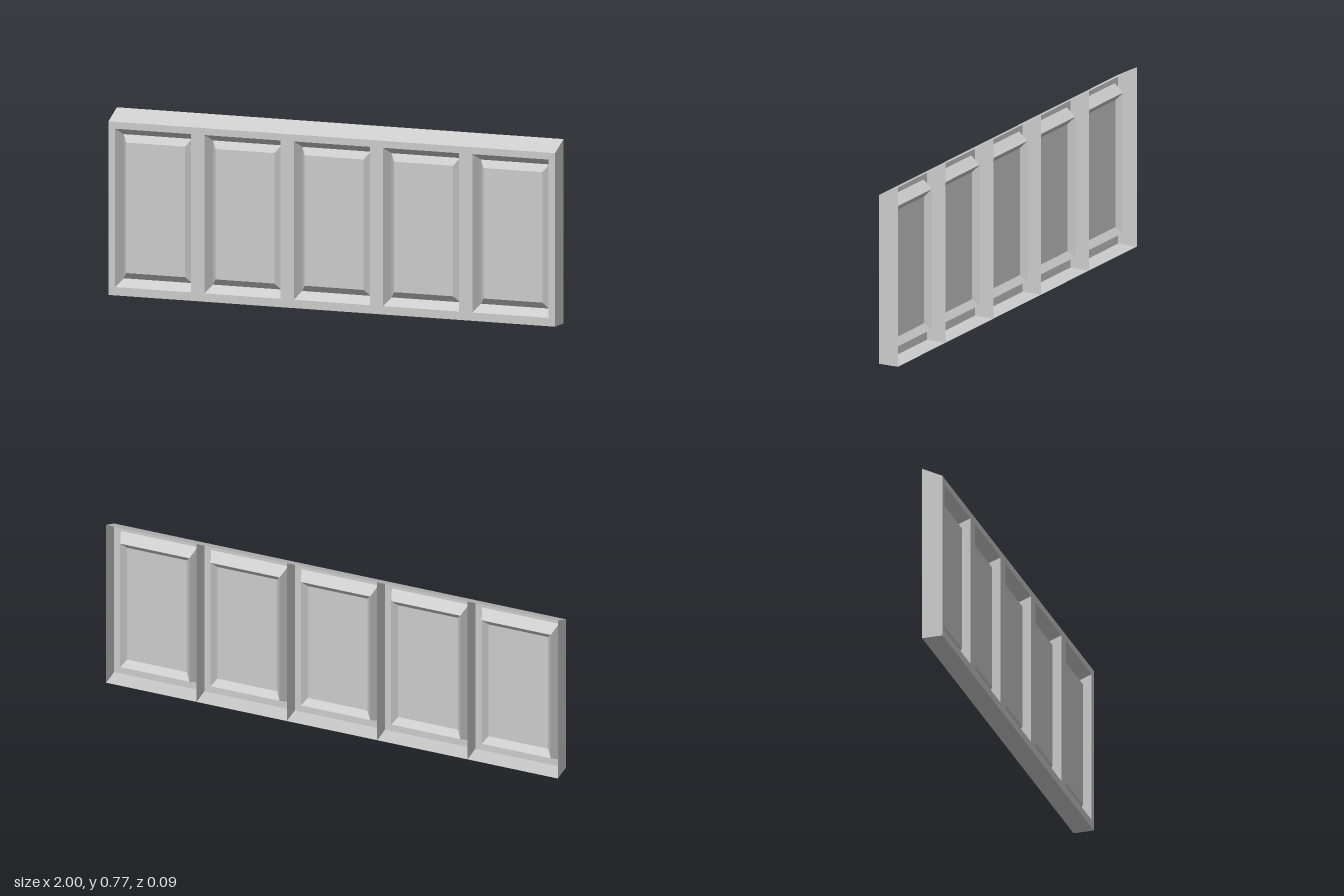
import * as THREE from 'three';

const HALF = 1, FRONT = 0.044, BACK = -0.044;
const FRONT_TOP = 0.725, BACK_TOP = 0.77;
const COUNT = 5, PITCH = (2 * HALF) / COUNT;

const material = new THREE.MeshStandardMaterial({
  color: 0xcccccc, flatShading: true, side: THREE.DoubleSide,
});

// Rectangular steps of one panel: half width, bottom, top, z
const STEPS = [
  [0.17, 0.035, 0.696, FRONT],   // edge of the opening
  [0.153, 0.065, 0.667, -0.006], // bottom of the groove
  [0.132, 0.092, 0.637, 0.019],  // raised field
];

function addMesh(parent, name, geometry) {
  const mesh = new THREE.Mesh(geometry, material);
  mesh.name = name;
  parent.add(mesh);
  return mesh;
}

// Flat-sided surface from quads, corners counter-clockwise
function quads(list) {
  const points = list.flatMap(([a, b, c, d]) => [a, b, c, a, c, d]).flat();
  const geometry = new THREE.BufferGeometry();
  geometry.setAttribute('position', new THREE.Float32BufferAttribute(points, 3));
  geometry.computeVertexNormals();
  return geometry;
}

const corners = ([w, y0, y1, z]) => [[-w, y0, z], [w, y0, z], [w, y1, z], [-w, y1, z]];

// Grooved bevels around a raised field
function panelGeometry() {
  const rings = STEPS.map(corners);
  const faces = [];
  for (let s = 0; s < rings.length - 1; s++) {
    for (let i = 0; i < 4; i++) {
      const j = (i + 1) % 4;
      faces.push([rings[s][i], rings[s][j], rings[s + 1][j], rings[s + 1][i]]);
    }
  }
  faces.push(rings[rings.length - 1]);
  return quads(faces);
}

// Face frame with an opening for each panel
function frameGeometry(centres) {
  const shape = new THREE.Shape([
    new THREE.Vector2(-HALF, 0), new THREE.Vector2(HALF, 0),
    new THREE.Vector2(HALF, FRONT_TOP), new THREE.Vector2(-HALF, FRONT_TOP),
  ]);
  for (const cx of centres) {
    const hole = corners(STEPS[0]).map(([x, y]) => new THREE.Vector2(x + cx, y));
    shape.holes.push(new THREE.Path(hole.reverse()));
  }
  return new THREE.ShapeGeometry(shape).translate(0, 0, FRONT);
}

export function createModel() {
  const model = new THREE.Group();
  model.name = 'wainscotPanelling';
  const centres = Array.from({ length: COUNT }, (_, i) => -HALF + PITCH * (i + 0.5));

  addMesh(model, 'faceFrame', frameGeometry(centres));

  const panel = panelGeometry();
  centres.forEach((x, i) => { addMesh(model, `panel${i + 1}`, panel).position.x = x; });

  // Sloping cap and flat base; the back stays open
  addMesh(model, 'slopedCap', quads([[
    [-HALF, FRONT_TOP, FRONT], [HALF, FRONT_TOP, FRONT],
    [HALF, BACK_TOP, BACK], [-HALF, BACK_TOP, BACK],
  ]]));
  addMesh(model, 'base', quads([[
    [-HALF, 0, BACK], [HALF, 0, BACK], [HALF, 0, FRONT], [-HALF, 0, FRONT],
  ]]));

  // Thin end walls and dividers between the bays
  const wall = quads([[
    [0, 0, FRONT], [0, 0, BACK], [0, BACK_TOP, BACK], [0, FRONT_TOP, FRONT],
  ]]);
  for (let i = 0; i <= COUNT; i++) {
    const isEnd = i === 0 || i === COUNT;
    const mesh = addMesh(model, isEnd ? 'endWall' : 'divider', wall);
    mesh.position.x = -HALF + PITCH * i;
    if (i === 0) mesh.geometry = quads([[
      [0, 0, BACK], [0, 0, FRONT], [0, FRONT_TOP, FRONT], [0, BACK_TOP, BACK],
    ]]);
  }
  return model;
}
